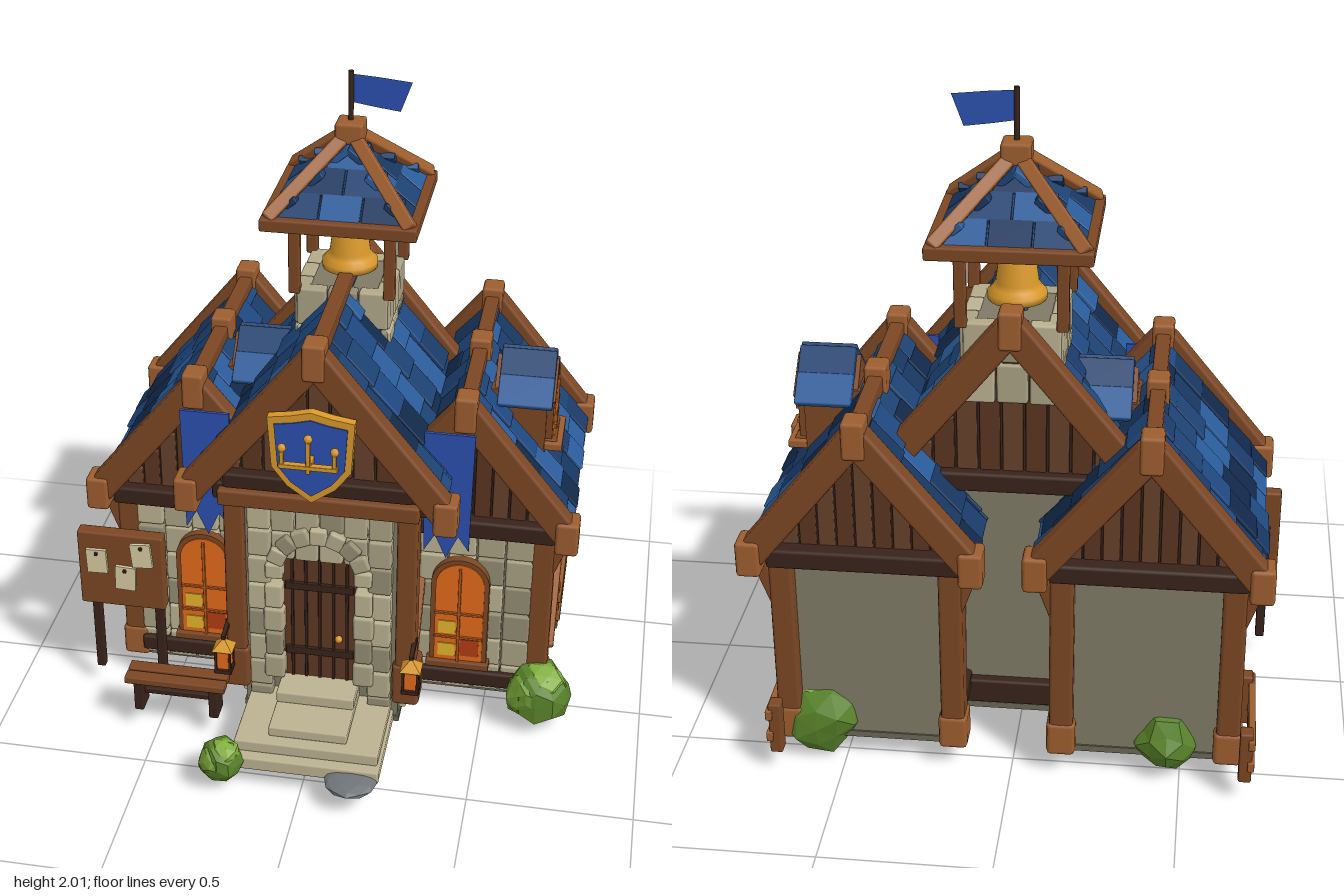
import * as THREE from 'three';
import { RoundedBoxGeometry } from 'three/addons/geometries/RoundedBoxGeometry.js';

const WOOD = 0x7c4724, LIGHT = 0x9c5d2e, DARK = 0x38231a, PLAIN = 0x7f7a66;
const STONES = [0xbcb291, 0xaaa284, 0x948d72, 0xb3aa8a];
const TILES = [0x1d4272, 0x183660, 0x2a5c9a, 0x12294a, 0x1f4880, 0x1a3a68];
const GOLD = 0xd9982a, BANNER = 0x2c50ae, ORANGE = 0xe46a1c;

const mats = {};
const mat = (color, opts = {}) => (mats[color + JSON.stringify(opts)] ??= new THREE.MeshStandardMaterial({ color, ...opts }));
let seed = 7;
const rnd = () => (seed = (seed * 16807) % 2147483647) / 2147483647;
const pick = list => list[Math.floor(rnd() * list.length)];

function add(parent, name, geo, color, x = 0, y = 0, z = 0, opts) {
  const m = new THREE.Mesh(geo, mat(color, opts));
  m.name = name;
  m.position.set(x, y, z);
  parent.add(m);
  return m;
}
function group(parent, name, x = 0, y = 0, z = 0, ry = 0) {
  const g = new THREE.Group();
  g.name = name;
  g.position.set(x, y, z);
  g.rotation.y = ry;
  parent.add(g);
  return g;
}
// Softly bevelled block by centre and size
const block = (p, name, color, x, y, z, w, h, d) =>
  add(p, name, new RoundedBoxGeometry(w, h, d, 1, Math.min(w, h, d) * 0.16), color, x, y, z);
// Beam between two points
function beam(p, name, color, a, b, w, d = w) {
  const A = new THREE.Vector3(...a), B = new THREE.Vector3(...b), dir = B.clone().sub(A);
  const mid = A.add(B).multiplyScalar(0.5);
  const m = block(p, name, color, mid.x, mid.y, mid.z, w, dir.length(), d);
  m.quaternion.setFromUnitVectors(new THREE.Vector3(0, 1, 0), dir.normalize());
  return m;
}
const poly = pts => new THREE.Shape(pts.map(q => new THREE.Vector2(...q)));
const slab = (shape, depth) => new THREE.ExtrudeGeometry(shape, { depth, bevelEnabled: false, curveSegments: 10 });
function arch(w, h) {
  const s = new THREE.Shape(), r = w / 2;
  s.moveTo(-r, 0).lineTo(r, 0).lineTo(r, h - r);
  s.absarc(0, h - r, r, 0, Math.PI);
  return s.closePath();
}
// Grid of stones facing +z; skip(x, y) leaves openings
function stoneWall(p, w, y0, y1, nx, ny, skip = () => false) {
  const sw = w / nx, sh = (y1 - y0) / ny;
  for (let i = 0; i < nx; i++) for (let j = 0; j < ny; j++) {
    const x = (i + 0.5) * sw - w / 2, y = y0 + (j + 0.5) * sh;
    if (!skip(x, y)) block(p, 'wallStone', pick(STONES), x, y, rnd() * 0.006, sw * 0.95, sh * 0.95, 0.045);
  }
}
function archWindow(p, w, h, x, y, z, ry = 0) {
  const g = group(p, 'window', x, y, z, ry);
  add(g, 'windowFrame', slab(arch(w, h), 0.03), WOOD);
  add(g, 'windowPane', slab(arch(w - 0.03, h - 0.03), 0.02), ORANGE, 0, 0.015, 0.014);
  add(g, 'yellowPane', new THREE.BoxGeometry(w * 0.3, h * 0.12, 0.004), 0xe3b52c, -w * 0.2, h * 0.36, 0.035);
  add(g, 'yellowPane', new THREE.BoxGeometry(w * 0.3, h * 0.12, 0.004), 0xe3b52c, -w * 0.2, h * 0.14, 0.035);
  add(g, 'redPane', new THREE.BoxGeometry(w * 0.32, h * 0.16, 0.004), 0xb43c16, w * 0.2, h * 0.17, 0.035);
  for (const k of [0.27, 0.5]) block(g, 'windowBar', 0xb5581c, 0, h * k, 0.036, w * 0.84, 0.008, 0.01);
  block(g, 'windowBar', 0xb5581c, 0, h * 0.48, 0.036, 0.009, h * 0.9, 0.01);
  block(g, 'windowSill', WOOD, 0, 0, 0.02, w * 1.1, 0.025, 0.05);
}
// Gable roof with ridge along z: columns of tiles, bargeboards, joint blocks
function gableRoof(p, half, ridgeY, eaveY, z0, z1, rows, cols, cover, extraBlocks) {
  const g = group(p, 'roof'), zc = (z0 + z1) / 2, len = z1 - z0;
  const run = Math.hypot(half, ridgeY - eaveY) * cover, ang = Math.atan2(ridgeY - eaveY, half);
  for (const s of [-1, 1]) {
    const side = group(g, 'roofSlope', 0, ridgeY, zc, s < 0 ? Math.PI : 0);
    const pitch = group(side, 'roofPitch');
    pitch.rotation.z = -ang;
    add(pitch, 'roofBoard', new THREE.BoxGeometry(run - 0.01, 0.02, len - 0.1), DARK, run / 2, -0.026, 0);
    const tw = (len - 0.05) / cols, tl = run / rows;
    for (let j = 0; j < cols; j++) {
      const shift = rnd() * 0.6 + 0.2;
      for (let i = 0; i <= rows; i++) {
        const a = Math.max(0, (i - shift) * tl), b = Math.min(run, (i + 1 - shift) * tl);
        const t = block(pitch, 'roofTile', pick(TILES), (a + b) / 2, -0.006 + rnd() * 0.012,
          (j + 0.5) * tw - len / 2 + 0.025, (b - a) + 0.008, 0.028, tw * 0.985);
        t.rotation.z = 0.05;
      }
    }
    for (const z of [z0, z1]) {
      beam(g, 'bargeboard', WOOD, [0, ridgeY, z], [s * half, eaveY, z], 0.085, 0.065);
      block(g, 'eaveBlock', LIGHT, s * half, eaveY, z, 0.07, 0.11, 0.085);
    }
  }
  block(g, 'ridgeBeam', WOOD, 0, ridgeY, zc, 0.045, 0.06, len);
  for (const z of [z0, ...extraBlocks, z1]) block(g, 'ridgeBlock', LIGHT, 0, ridgeY, z, 0.066, 0.115, 0.08);
}
function gablePanels(p, half, baseY, topY, z0, z1) {
  add(p, 'gable', slab(poly([[-half, baseY], [half, baseY], [0, topY]]), z1 - z0), DARK, 0, 0, z0);
  for (let i = -4; i <= 4; i++) {
    const x = i * half / 5, h = (topY - baseY) * (1 - Math.abs(x) / half);
    for (const z of [z0, z1]) block(p, 'gablePlank', i % 2 ? 0x5a3520 : 0x66402a, x, baseY + h / 2, z, half / 5.6, h, 0.025);
  }
}
function wing(root, s) {
  const g = group(root, 'wing', s * 0.405);
  add(g, 'wingWalls', new THREE.BoxGeometry(0.47, 0.63, 0.58), PLAIN, 0, 0.395, -0.24);
  add(g, 'wingFloor', new THREE.BoxGeometry(0.48, 0.02, 0.59), 0x6b6654, 0, 0.07, -0.24);
  stoneWall(group(g, 'frontWall', 0, 0, 0.05), 0.44, 0.075, 0.68, 5, 6);
  gablePanels(g, 0.27, 0.72, 1.05, -0.53, 0.06);
  for (const k of [-1, 1]) {
    const x = k * 0.245;
    stoneWall(group(g, 'sideWall', k * 0.235, 0, -0.24, k * Math.PI / 2), 0.5, 0.075, 0.68, 5, 6);
    for (const z of [0.03, -0.525]) {
      block(g, 'cornerPost', WOOD, x, 0.4, z, 0.07, 0.65, 0.085);
      block(g, 'postFoot', LIGHT, x, 0.12, z, 0.085, 0.11, 0.095);
      beam(g, 'eaveBrace', WOOD, [x * 1.06, 0.54, z], [x * 1.28, 0.69, z], 0.04, 0.075);
    }
    block(g, 'wallPlate', DARK, x, 0.69, -0.24, 0.05, 0.05, 0.66);
    block(g, 'sideSill', DARK, x, 0.17, -0.24, 0.06, 0.055, 0.48);
    beam(g, 'sideBrace', LIGHT, [k * 0.268, 0.21, -0.01], [k * 0.268, 0.64, -0.49], 0.05, 0.035);
  }
  block(g, 'frontSill', DARK, 0, 0.125, 0.06, 0.44, 0.055, 0.06);
  for (const z of [0.08, -0.56]) block(g, 'tieBeam', DARK, 0, 0.7, z, 0.56, 0.06, 0.06);
  archWindow(g, 0.18, 0.39, 0, 0.19, 0.07);
  gableRoof(g, 0.315, 1.12, 0.73, -0.61, 0.12, 4, 6, 1.01, [-0.255]);
  // Dormer on the +x slope
  const d = group(g, 'dormer', 0, 0, -0.175);
  add(d, 'dormerBody', new THREE.BoxGeometry(0.18, 0.25, 0.16), WOOD, 0.13, 0.955, 0);
  add(d, 'dormerGable', slab(poly([[-0.08, 1.07], [0.08, 1.07], [0, 1.16]]), 0.16), WOOD, 0.06, 0, 0).rotation.y = Math.PI / 2;
  archWindow(d, 0.135, 0.2, 0.21, 0.905, 0, Math.PI / 2);
  block(d, 'dormerSill', LIGHT, 0.245, 0.9, 0, 0.055, 0.025, 0.18);
  for (const k of [-1, 1]) {
    for (let i = 0; i < 2; i++)
      beam(d, 'dormerTile', TILES[i * 2], [0.155, 1.18 - i * 0.06, k * i * 0.06], [0.155, 1.11 - i * 0.06, k * (i + 1) * 0.063], 0.165, 0.03);
    beam(d, 'dormerRafter', WOOD, [0.235, 1.155, 0], [0.235, 1.06, k * 0.1], 0.02, 0.025);
  }
}
function bush(p, x, y, z, r) {
  const g = group(p, 'bush', x, y, z);
  const leaf = (name, color, k, dx, dy, dz) => {
    const geo = new THREE.IcosahedronGeometry(r * k, 1), a = geo.attributes.position;
    for (let i = 0; i < a.count; i++) {
      const f = 1 + 0.09 * Math.sin(a.getX(i) * 190 + a.getY(i) * 130 + a.getZ(i) * 170);
      a.setXYZ(i, a.getX(i) * f, a.getY(i) * f, a.getZ(i) * f);
    }
    add(g, name, geo, color, dx * r, dy * r, dz * r, { flatShading: true });
  };
  leaf('bushCore', 0x58822a, 0.97, 0, -0.03, 0);
  leaf('bushTop', 0x7fac3a, 0.7, 0.1, 0.32, 0.05);
  leaf('bushSide', 0x6b9530, 0.65, -0.3, 0.1, 0.3);
}

export function createModel() {
  const model = new THREE.Group();
  model.name = 'townHall';
  const root = group(model, 'building', 0.012);
  wing(root, 1);
  wing(root, -1);

  // Central hall
  const hall = group(root, 'hall');
  add(hall, 'hallWalls', new THREE.BoxGeometry(0.48, 0.8, 0.61), PLAIN, 0, 0.47, -0.045);
  add(hall, 'hallFloor', new THREE.BoxGeometry(0.49, 0.02, 0.62), 0x6b6654, 0, 0.075, -0.045);
  stoneWall(group(hall, 'hallFront', 0, 0, 0.275), 0.44, 0.08, 0.85, 6, 8, (x, y) => Math.abs(x) < 0.12 && y < 0.68);
  gablePanels(hall, 0.33, 0.9, 1.31, -0.35, 0.28);
  gableRoof(hall, 0.38, 1.37, 0.9, -0.4, 0.34, 5, 6, 0.96, []);
  block(hall, 'tieBeam', WOOD, 0, 0.87, 0.29, 0.6, 0.055, 0.07);
  block(hall, 'upperTieBeam', DARK, 0, 0.935, 0.3, 0.56, 0.05, 0.06);
  block(hall, 'rearTieBeam', DARK, 0, 0.87, -0.36, 0.5, 0.06, 0.06);
  block(hall, 'rearSill', DARK, 0, 0.14, -0.355, 0.3, 0.08, 0.05);
  for (const s of [-1, 1]) {
    stoneWall(group(hall, 'hallSide', s * 0.235, 0, 0.14, s * Math.PI / 2), 0.16, 0.08, 0.85, 2, 8);
    block(hall, 'hallPost', WOOD, s * 0.262, 0.52, 0.245, 0.062, 0.7, 0.08);
    block(hall, 'hallPostFoot', WOOD, s * 0.265, 0.225, 0.24, 0.085, 0.15, 0.1);
    block(hall, 'hallPlate', DARK, s * 0.285, 0.88, -0.01, 0.07, 0.06, 0.62);
    beam(hall, 'hallBrace', LIGHT, [s * 0.27, 0.3, 0.2], [s * 0.27, 0.48, 0.06], 0.045, 0.04);
    // Hanging banner
    const b = poly([[-0.075, 1.07], [0.075, 1.07], [0.068, 0.67], [0.035, 0.72], [0, 0.64], [-0.035, 0.72], [-0.068, 0.66]]);
    add(hall, 'banner', slab(b, 0.01), BANNER, s * 0.365, 0, 0.17);
    // Lantern
    const l = group(hall, 'lantern', s * 0.29, 0.3, 0.335);
    block(l, 'lanternGlass', ORANGE, 0, 0, 0, 0.045, 0.075, 0.045);
    for (const x of [-1, 1]) for (const z of [-1, 1]) block(l, 'lanternEdge', DARK, x * 0.022, 0, z * 0.022, 0.008, 0.078, 0.008);
    add(l, 'lanternCap', new THREE.ConeGeometry(0.045, 0.035, 4), GOLD, 0, 0.052, 0, { flatShading: true }).rotation.y = Math.PI / 4;
    block(l, 'lanternBase', DARK, 0, -0.043, 0, 0.055, 0.014, 0.055);
    beam(l, 'lanternArm', DARK, [0, 0.075, 0.01], [0, 0.085, -0.08], 0.014);
  }

  // Door with stone arch
  add(hall, 'door', slab(arch(0.23, 0.51), 0.02), 0x5e3822, 0, 0.22, 0.262);
  for (let i = -2; i <= 2; i++) block(hall, 'doorGroove', DARK, i * 0.042, 0.44, 0.282, 0.009, 0.44, 0.012);
  for (const y of [0.32, 0.56]) block(hall, 'doorStrap', DARK, 0, y, 0.286, 0.21, 0.025, 0.014);
  add(hall, 'doorKnob', new THREE.SphereGeometry(0.012, 10, 8), GOLD, 0.06, 0.38, 0.294);
  for (let i = 0; i < 9; i++) {
    const a = Math.PI * i / 8;
    block(hall, 'archStone', STONES[i % 4], Math.cos(a) * 0.135, 0.62 + Math.sin(a) * 0.135, 0.285, 0.055, 0.052, 0.065).rotation.z = a;
  }
  for (const s of [-1, 1]) for (let j = 0; j < 4; j++)
    block(hall, 'jambStone', STONES[(j + 1) % 4], s * 0.137, 0.265 + j * 0.088, 0.285, j % 2 ? 0.055 : 0.064, 0.084, 0.065);
  [[0.455, 0.06, 0.105, 0.565], [0.44, 0.105, 0.145, 0.535], [0.24, 0.145, 0.18, 0.5], [0.24, 0.18, 0.22, 0.38]].forEach(([w, y0, y1, z]) =>
    block(root, 'step', STONES[0], 0, (y0 + y1) / 2, (z + 0.24) / 2, w, y1 - y0, z - 0.24));

  // Shield with a plain forked ornament
  const outline = k => poly([[-0.125, 0.12], [-0.06, 0.13], [0, 0.145], [0.06, 0.13], [0.125, 0.12], [0.115, -0.04], [0.07, -0.1], [0, -0.15], [-0.07, -0.1], [-0.115, -0.04]].map(q => q.map(v => v * k)));
  const shield = group(root, 'shield', 0, 1.09, 0.38);
  add(shield, 'shieldRim', slab(outline(1), 0.028), GOLD);
  add(shield, 'shieldField', slab(outline(0.84), 0.012), BANNER, 0, 0, 0.02);
  block(shield, 'ornamentBar', GOLD, 0, -0.005, 0.07, 0.17, 0.014, 0.02);
  for (const x of [-0.075, 0, 0.075]) {
    block(shield, 'ornamentProng', GOLD, x, x ? 0.02 : 0.03, 0.07, 0.012, x ? 0.06 : 0.11, 0.016);
    add(shield, 'ornamentTip', new THREE.SphereGeometry(0.013, 8, 6), GOLD, x, x ? 0.05 : 0.085, 0.07);
  }
  block(shield, 'ornamentPin', GOLD, 0, 0, 0.045, 0.02, 0.02, 0.05);

  // Belfry
  const tower = group(root, 'belfry', 0, 0, -0.232);
  add(tower, 'belfryCore', new THREE.BoxGeometry(0.25, 0.2, 0.25), PLAIN, 0, 1.26, 0);
  for (let k = 0; k < 4; k++) {
    const f = group(tower, 'belfrySide', 0, 0, 0, k * Math.PI / 2);
    stoneWall(group(f, 'belfryStones', 0, 0, 0.12), 0.28, 1.12, 1.37, 3, 2);
    block(f, 'belfryPost', WOOD, 0.142, 1.48, 0.142, 0.034, 0.25, 0.034);
    block(f, 'belfryEave', WOOD, 0, 1.6, 0.21, 0.46, 0.04, 0.04);
    beam(f, 'hipBeam', LIGHT, [0.21, 1.615, 0.21], [0.02, 1.8, 0.02], 0.04);
    for (let i = 0; i < 3; i++) for (let j = 0; j < 3 - i; j++) {
      const w = 0.37 * (1 - i / 3) / (3 - i), t = (i + 0.5) / 3;
      const m = block(f, 'belfryTile', TILES[(i + j * 2 + k) % 3], (j - (2 - i) / 2) * w, 1.61 + t * 0.165, 0.2 * (1 - t), w * 0.96, 0.02, 0.094);
      m.rotation.x = 0.69;
    }
  }
  add(tower, 'belfryRoof', new THREE.ConeGeometry(0.28, 0.19, 4, 1, true), 0x1d4272, 0, 1.695, 0, { flatShading: true, side: THREE.DoubleSide }).rotation.y = Math.PI / 4;
  block(tower, 'roofCap', LIGHT, 0, 1.82, 0, 0.085, 0.065, 0.085);
  add(tower, 'flagpole', new THREE.CylinderGeometry(0.008, 0.008, 0.16, 8), DARK, 0, 1.92, 0);
  add(tower, 'flag', new THREE.ShapeGeometry(poly([[0.008, 1.99], [0.08, 1.985], [0.178, 1.975], [0.145, 1.885], [0.07, 1.895], [0.008, 1.905]])), BANNER, 0, 0, 0, { side: THREE.DoubleSide });
  const bell = [[0, 1.54], [0.04, 1.535], [0.052, 1.515], [0.062, 1.44], [0.07, 1.425], [0.085, 1.41], [0.085, 1.39], [0.06, 1.39], [0, 1.45]];
  add(tower, 'bell', new THREE.LatheGeometry(bell.map(q => new THREE.Vector2(...q)).reverse(), 20), GOLD, 0, 0, 0, { side: THREE.DoubleSide });
  add(tower, 'bellRope', new THREE.CylinderGeometry(0.008, 0.008, 0.24, 6), DARK, 0, 1.65, 0);

  // Notice board
  const board = group(model, 'noticeBoard', -0.643, 0, 0.15);
  block(board, 'boardPanel', WOOD, 0, 0.46, 0, 0.275, 0.27, 0.045);
  for (const x of [-0.095, 0.11]) block(board, 'boardLeg', DARK, x, 0.27, -0.01, 0.028, 0.42, 0.028);
  [[-0.075, 0.495, 0.03], [0.015, 0.44, -0.05], [0.07, 0.53, 0.08]].forEach(([x, y, r]) => {
    add(board, 'paperNote', new THREE.BoxGeometry(0.065, 0.085, 0.012), 0xd8cba2, x, y, 0.027).rotation.z = r;
    block(board, 'notePin', DARK, x, y + 0.03, 0.035, 0.01, 0.01, 0.01);
  });

  // Bench
  const bench = group(model, 'bench', -0.435, 0, 0.32);
  for (const z of [-0.025, 0.025]) block(bench, 'benchSlat', WOOD, 0, 0.185, z, 0.32, 0.024, 0.042);
  for (const x of [-0.12, 0.12]) block(bench, 'benchLeg', DARK, x, 0.12, 0, 0.03, 0.11, 0.07);
  block(bench, 'benchRail', DARK, 0, 0.125, 0, 0.24, 0.02, 0.02);

  // Fences along both outer sides
  for (const s of [-1, 1]) {
    const fence = group(model, 'fence', s * 0.69, 0, -0.46);
    for (const z of [-0.155, 0.13]) block(fence, 'fencePost', WOOD, 0, 0.145, z, 0.038, 0.17, 0.045);
    for (const y of [0.12, 0.195]) block(fence, 'fenceRail', LIGHT, s * 0.016, y, -0.01, 0.02, 0.032, 0.35);
  }

  // Bushes and flat stone
  [[0.675, 0.105, 0.085, 0.105], [-0.24, 0.095, 0.565, 0.07], [-0.46, 0.105, -0.49, 0.105],
    [0.58, 0.115, -0.48, 0.125], [0.63, 0.09, -0.37, 0.085]].forEach(b => bush(model, ...b));
  const rock = add(model, 'flatStone', new THREE.IcosahedronGeometry(0.08, 1), 0x6f7478, 0.158, 0.075, 0.575, { flatShading: true });
  rock.scale.y = 0.25;
  return model;
}
